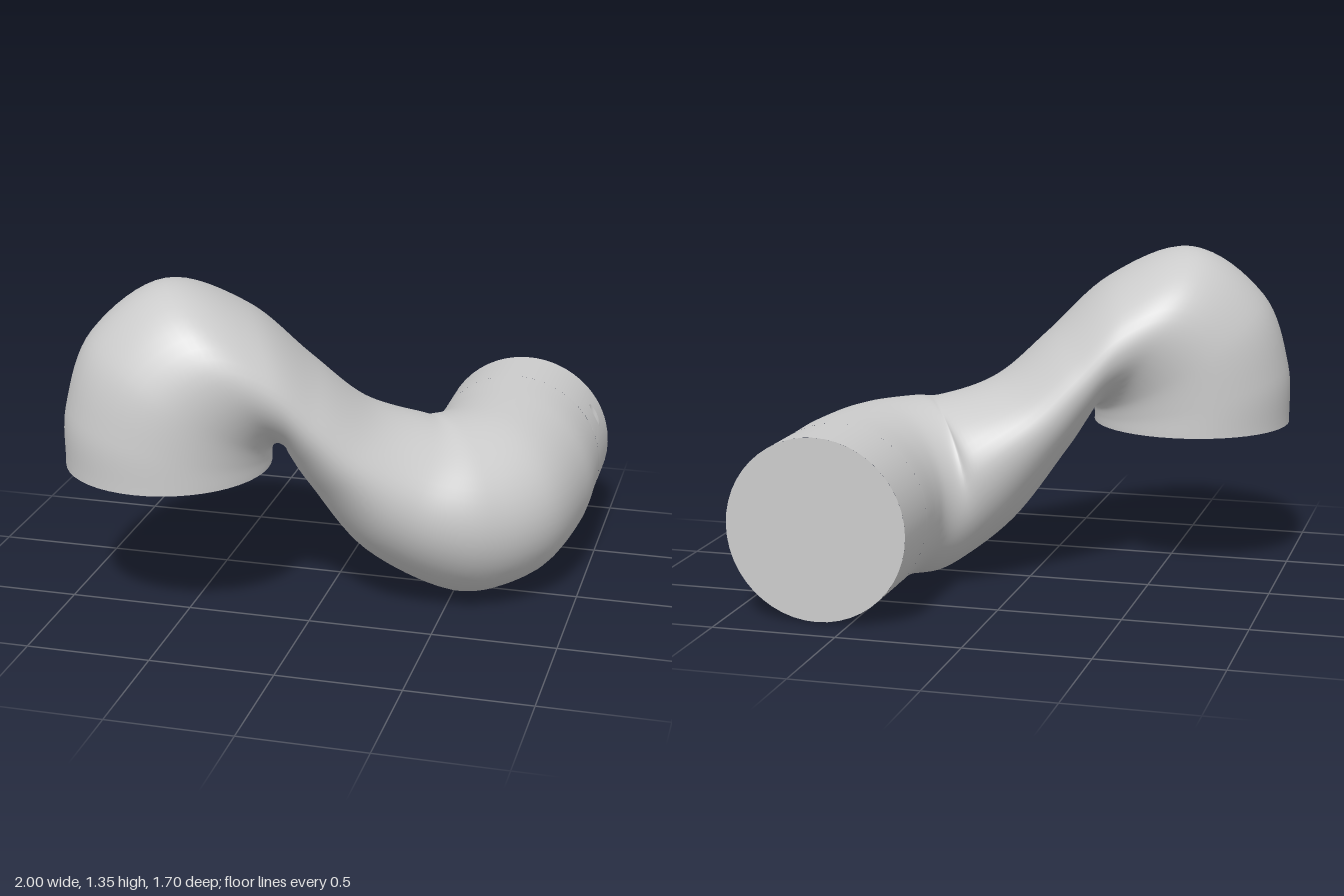
import * as THREE from 'three';

const TAU = Math.PI * 2;
const V = (x, y, z) => new THREE.Vector3(x, y, z);

// Skin a list of closed rings of points
function loft(rings) {
  const n = rings[0].length, index = [];
  for (let i = 0; i < rings.length - 1; i++) {
    for (let j = 0; j < n; j++) {
      const k = (j + 1) % n;
      const a = i * n + j, b = i * n + k, c = a + n, d = b + n;
      index.push(a, b, c, b, d, c);
    }
  }
  const geo = new THREE.BufferGeometry().setFromPoints(rings.flat());
  geo.setIndex(index);
  geo.computeVertexNormals();
  return geo;
}

const loop = (n, fn) => Array.from({ length: n }, (_, i) => fn((i / n) * TAU));

export function createModel() {
  const group = new THREE.Group();
  const mat = new THREE.MeshStandardMaterial({ color: 0xcccccc });
  const flat = new THREE.MeshStandardMaterial({ color: 0xcccccc, flatShading: true });
  const add = (name, geo, material = mat) => {
    const mesh = new THREE.Mesh(geo, material);
    mesh.name = name;
    group.add(mesh);
    return mesh;
  };

  // Upright plane of the first bend: s runs outward from the leg axis
  const P = (s, y) => V(-0.59 + 0.93 * s, y, 0.44 - 0.37 * s);
  const side = (w) => V(0.37, 0, 0.93).multiplyScalar(w);

  // Key sections: outer point, inner point, half-width vector
  const keys = [
    [P(-0.41, 0.615), P(0.41, 0.615), side(0.41)],
    [P(-0.4, 0.86), P(0.41, 0.65), side(0.41)],
    [P(-0.29, 1.15), P(0.415, 0.68), side(0.41)],
    [P(0, 1.345), P(0.43, 0.695), side(0.41)],
    [P(0.33, 1.23), P(0.45, 0.685), side(0.405)],
    [P(0.59, 1.0), P(0.475, 0.63), side(0.4)],
    [P(0.817, 0.81), P(0.55, 0.51), side(0.4)],
    [P(1.05, 0.735), P(0.77, 0.22), side(0.404)],
    [V(0.47, 0.735, 0.02), V(0.42, 0.02, 0.04), V(0.25, 0, 0.33)],
    [V(0.585, 0.735, -0.12), V(0.585, 0.005, -0.12), V(0.335, 0, 0.24)],
    [V(0.63, 0.735, -0.345), V(0.63, 0.005, -0.345), V(0.365, 0, 0.095)],
    [V(0.63, 0.735, -0.58), V(0.63, 0.005, -0.58), V(0.365, 0, 0)],
  ];
  const curves = [0, 1, 2].map((c) =>
    new THREE.CatmullRomCurve3(keys.map((k) => k[c]), false, 'catmullrom', 0.5));

  // Double-bend pipe
  const steps = 88, rings = [];
  for (let i = 0; i <= steps; i++) {
    const [outer, inner, w] = curves.map((c) => c.getPoint(i / steps));
    const centre = outer.clone().add(inner).multiplyScalar(0.5);
    const u = outer.clone().sub(centre);
    rings.push(loop(48, (t) => centre.clone()
      .addScaledVector(u, Math.cos(t)).addScaledVector(w, Math.sin(t))));
  }
  add('bentPipe', loft(rings));

  // Flat face under the upright end
  const legCap = add('lowerEndFace', new THREE.CircleGeometry(0.41, 48));
  legCap.rotation.x = Math.PI / 2;
  legCap.position.set(-0.59, 0.615, 0.44);

  // Straight collar, open where the drilled patch sits
  const R = 0.365, phi0 = 0.25, phi1 = 0.75;
  const collar = add('collar', new THREE.CylinderGeometry(
    R, R, 0.27, 48, 1, true, Math.PI / 2 - phi0, TAU - (phi1 - phi0)));
  collar.rotation.x = -Math.PI / 2;
  collar.position.set(0.63, 0.37, -0.715);

  const collarCap = add('rearEndFace', new THREE.CircleGeometry(R, 48));
  collarCap.rotation.y = Math.PI;
  collarCap.position.set(0.63, 0.37, -0.85);

  // Curved patch around the vertical hole
  const onCollar = (phi, z) => V(0.63 + R * Math.cos(phi), 0.37 + R * Math.sin(phi), z);
  const holeX = 0.95, holeZ = -0.72, holeR = 0.025;
  const patchRing = (f) => loop(32, (t) => {
    const c = Math.cos(t), s = Math.sin(t), m = Math.max(Math.abs(c), Math.abs(s));
    const holePhi = Math.acos((holeX + holeR * c - 0.63) / R);
    const edgePhi = (phi0 + phi1) / 2 - ((phi1 - phi0) / 2) * (c / m);
    return onCollar(
      THREE.MathUtils.lerp(holePhi, edgePhi, f),
      THREE.MathUtils.lerp(holeZ + holeR * s, -0.715 + 0.135 * (s / m), f));
  });
  add('collarPatch', loft([0, 0.25, 0.5, 0.75, 1].map(patchRing)));

  // Hole floor and wall
  const rim = patchRing(0);
  const floor = rim.map((p) => V(p.x, 0.46, p.z));
  const middle = rim.map(() => V(holeX, 0.46, holeZ));
  add('pinHole', loft([middle, floor, rim]), flat);

  return group;
}
